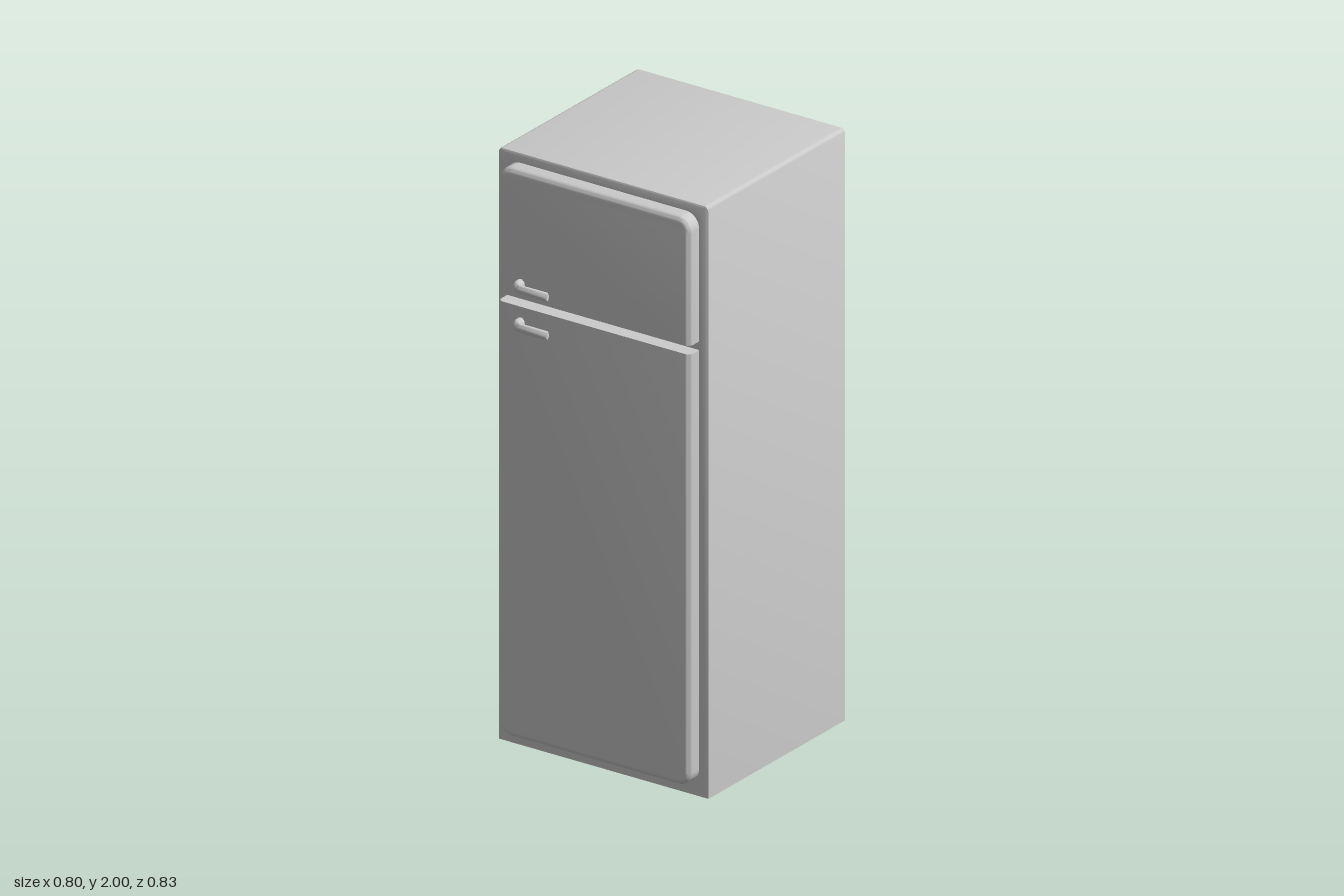
import * as THREE from 'three';
import { mergeGeometries, toCreasedNormals } from 'three/addons/utils/BufferGeometryUtils.js';

const material = new THREE.MeshStandardMaterial({ color: 0xcccccc, side: THREE.DoubleSide });

// Arch outline: square at yFlat, rounded corners at yRound. Inset leaves the flat end in place.
function arch(w, yFlat, yRound, r, inset = 0, steps = 8) {
  const dir = Math.sign(yRound - yFlat);
  const hw = w - inset, rr = r - inset;
  const points = [new THREE.Vector2(hw, yFlat)];
  for (const side of [1, -1]) {
    for (let i = 0; i <= steps; i++) {
      const a = (side > 0 ? i / steps : 1 + i / steps) * Math.PI / 2;
      points.push(new THREE.Vector2(side * (w - r) + Math.cos(a) * rr, yRound + dir * (Math.sin(a) * rr - r)));
    }
  }
  points.push(new THREE.Vector2(-hw, yFlat));
  return dir > 0 ? points : points.reverse();
}

// Skin through a list of rings of Vector3
function loft(rings, closed) {
  const n = rings[0].length, position = [];
  for (let k = 0; k < rings.length - 1; k++) {
    for (let j = 0; j < (closed ? n : n - 1); j++) {
      const m = (j + 1) % n;
      const a = rings[k][j], b = rings[k][m], c = rings[k + 1][m], d = rings[k + 1][j];
      for (const p of [a, b, c, a, c, d]) position.push(p.x, p.y, p.z);
    }
  }
  const g = new THREE.BufferGeometry();
  g.setAttribute('position', new THREE.Float32BufferAttribute(position, 3));
  return g;
}

const atZ = (points, z) => points.map(p => new THREE.Vector3(p.x, p.y, z));

function panel(points, z, holes = []) {
  const shape = new THREE.Shape(points);
  shape.holes = holes.map(h => new THREE.Path(h));
  const g = new THREE.ShapeGeometry(shape).toNonIndexed();
  g.deleteAttribute('uv');
  g.deleteAttribute('normal');
  return g.translate(0, 0, z);
}

function makeMesh(name, parts) {
  const mesh = new THREE.Mesh(toCreasedNormals(mergeGeometries(parts), 0.7), material);
  mesh.name = name;
  return mesh;
}

const FRONT = 0.32, BACK = -0.415, DOOR_FRONT = 0.37;
const doors = [
  { name: 'upperDoor', flat: 1.537, round: 1.967, handleY: 1.585 },
  { name: 'lowerDoor', flat: 1.508, round: 0.043, handleY: 1.455 },
];
const doorOutline = (d, inset = 0) => arch(0.363, d.flat, d.round, 0.05, inset);

// Hollow cabinet, open underneath, with a front frame around the doors
function cabinet() {
  const bevel = 0.006;
  const outline = inset => arch(0.398, 0, 2, 0.018, inset, 4);
  const shell = loft([
    atZ(outline(bevel), BACK), atZ(outline(bevel * 0.3), BACK + bevel * 0.3), atZ(outline(0), BACK + bevel),
    atZ(outline(0), FRONT - bevel), atZ(outline(bevel * 0.3), FRONT - bevel * 0.3), atZ(outline(bevel), FRONT),
  ], false);
  const back = panel(outline(bevel), 0).rotateY(Math.PI).translate(0, 0, BACK);
  const frame = panel(outline(bevel), FRONT, doors.map(d => doorOutline(d)));
  return makeMesh('cabinet', [shell, back, frame]);
}

// Door shell with rounded front edges, straight along the gap
function door(d) {
  const r = 0.018, rings = [atZ(doorOutline(d), FRONT)];
  for (let i = 0; i <= 5; i++) {
    const a = i / 5 * Math.PI / 2;
    rings.push(atZ(doorOutline(d, r * (1 - Math.cos(a))), DOOR_FRONT - r + r * Math.sin(a)));
  }
  return makeMesh(d.name, [loft(rings, true), panel(doorOutline(d, r), DOOR_FRONT)]);
}

// Handle: round stem bending into a flattened bar
function handle(y) {
  const ring = (x, z, a, h, v) => Array.from({ length: 16 }, (_, i) => {
    const t = i / 16 * Math.PI * 2, s = Math.cos(t) * h;
    return new THREE.Vector3(x + Math.cos(a) * s, y + Math.sin(t) * v, z - Math.sin(a) * s);
  });
  const rings = [ring(-0.277, 0.368, 0, 0.016, 0.017)];
  for (let i = 0; i <= 8; i++) {
    const u = i / 8, a = u * Math.PI / 2;
    rings.push(ring(-0.247 - 0.03 * Math.cos(a), 0.38 + 0.0255 * Math.sin(a), a, 0.016 - 0.007 * u, 0.017 - 0.002 * u));
  }
  rings.push(ring(-0.153, 0.4055, Math.PI / 2, 0.009, 0.015));
  rings.push(ring(-0.15, 0.4055, Math.PI / 2, 0.007, 0.013));
  rings.push(ring(-0.15, 0.4055, Math.PI / 2, 0, 0));
  return makeMesh('handle', [loft(rings, true)]);
}

export function createModel() {
  const group = new THREE.Group();
  group.name = 'refrigerator';
  group.add(cabinet());
  for (const d of doors) group.add(door(d), handle(d.handleY));
  return group;
}
